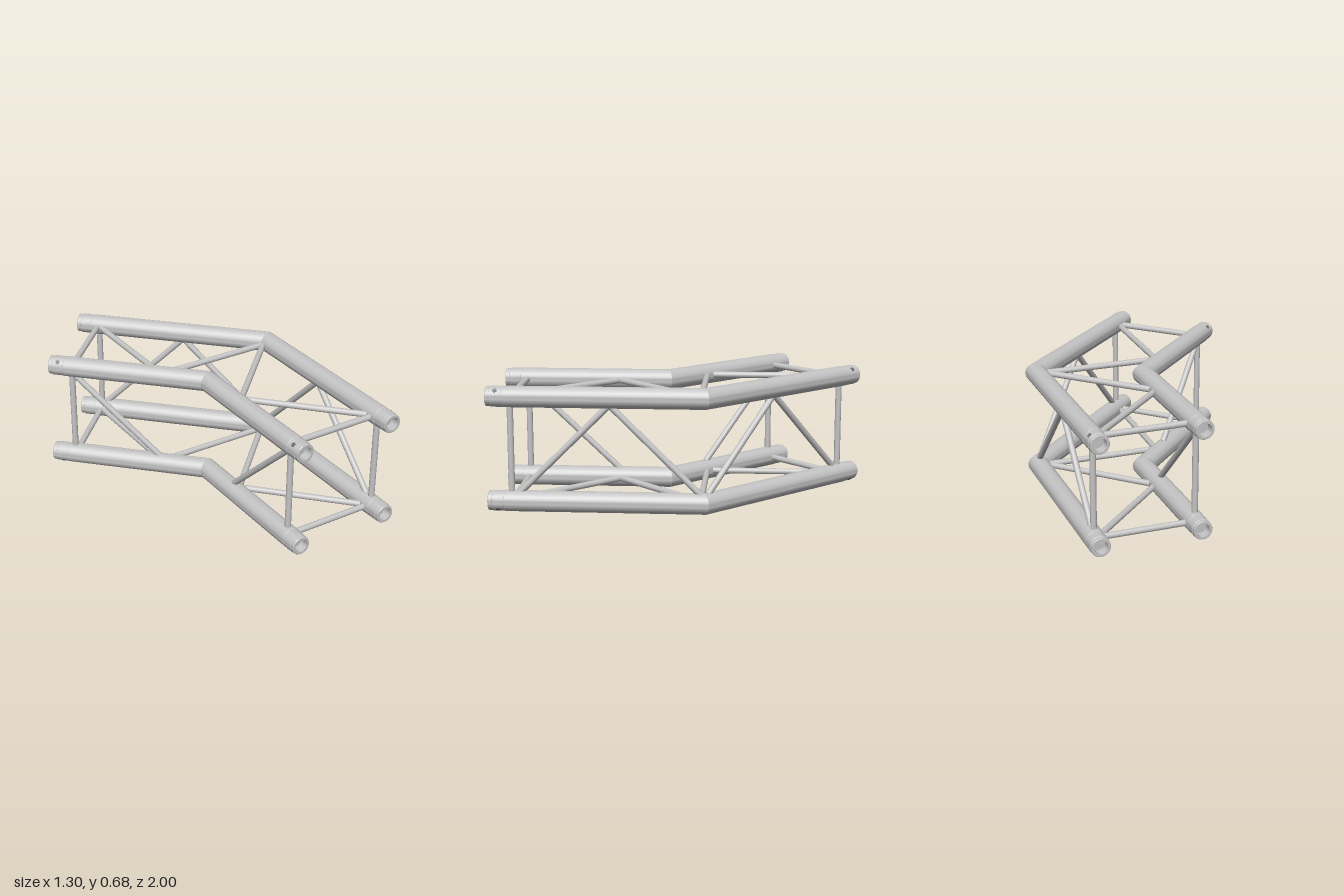
import * as THREE from 'three';
import { toCreasedNormals } from 'three/addons/utils/BufferGeometryUtils.js';

const R = 0.057, BRACE_R = 0.0172, LOW = 0.059, HIGH = 0.625, INSET = 0.048;
const MITRE = Math.tan(Math.PI / 8), Q = Math.SQRT1_2;

// Two legs leave the bend; "out" points to the outer side of the corner.
const LEGS = [
  { dir: new THREE.Vector3(0, 0, 1), out: new THREE.Vector3(1, 0, 0) },
  { dir: new THREE.Vector3(-Q, 0, -Q), out: new THREE.Vector3(Q, 0, -Q) },
];
// Bend position, side of the corner and leg lengths of each chord pair.
const OUTER = { x: 0.593, z: -0.155, side: 1, len: [1.155, 1.148] };
const INNER = { x: 0.03, z: 0.08, side: -1, len: [0.92, 0.912] };

export function createModel() {
  const metal = new THREE.MeshStandardMaterial({ color: 0xc4c4c4 });
  metal.name = 'aluminium';
  const shade = new THREE.MeshStandardMaterial({ color: 0x6c6c6c });
  shade.name = 'pin hole grey';
  const root = new THREE.Group();
  root.name = 'cornerTruss';

  const add = (parent, name, geo, mat) => {
    const mesh = new THREE.Mesh(geo, mat);
    mesh.name = name;
    parent.add(mesh);
    return mesh;
  };

  // Tube along +y: mitred at the bend, stepped collar and open socket at the end
  const tubeGeometry = (len) => {
    const profile = [
      [R, 0], [R, len - 0.09], [0.0553, len - 0.088], [0.0553, len - 0.026],
      [0.0525, len - 0.024], [0.0525, len - 0.004], [0.05, len],
      [0.037, len], [0.035, len - 0.05], [0, len - 0.05],
    ].map(([x, y]) => new THREE.Vector2(x, y));
    const geo = new THREE.LatheGeometry(profile, 40);
    const p = geo.attributes.position;
    for (let i = 0; i < p.count; i++) {
      if (Math.abs(p.getY(i)) < 1e-6) p.setY(i, -MITRE * p.getX(i));
    }
    return toCreasedNormals(geo, 0.5);
  };

  // Four bent chords
  for (const chord of [OUTER, INNER]) {
    for (const y of [LOW, HIGH]) {
      const pipe = new THREE.Group();
      pipe.name = (chord === OUTER ? 'outer' : 'inner') + (y === LOW ? 'Lower' : 'Upper') + 'Chord';
      pipe.position.set(chord.x, y, chord.z);
      root.add(pipe);
      LEGS.forEach(({ dir, out }, i) => {
        const leg = new THREE.Group();
        leg.name = i ? 'angledLeg' : 'straightLeg';
        const zAxis = new THREE.Vector3().crossVectors(out, dir);
        leg.quaternion.setFromRotationMatrix(new THREE.Matrix4().makeBasis(out, dir, zAxis));
        pipe.add(leg);
        const len = chord.len[i];
        add(leg, 'chordTube', tubeGeometry(len), metal);
        // Pin hole facing diagonally away from the truss centre
        const n = new THREE.Vector3(chord.side, 0, (y === HIGH ? 1 : -1) * Math.sign(zAxis.y)).normalize();
        const hole = add(leg, 'pinHole', new THREE.CylinderGeometry(0.012, 0.012, 0.004, 20), shade);
        hole.position.copy(n).multiplyScalar(0.0539).setY(len - 0.055);
        hole.quaternion.setFromUnitVectors(new THREE.Vector3(0, 1, 0), n);
      });
    }
  }

  // Point on a chord at distance t from its bend, shifted inward across the truss
  const at = (chord, leg, t, y, inward = 0) => new THREE.Vector3(chord.x, y, chord.z)
    .addScaledVector(LEGS[leg].dir, t)
    .addScaledVector(LEGS[leg].out, -chord.side * inward);

  const brace = (name, a, b) => {
    const d = b.clone().sub(a);
    const mesh = add(root, name, new THREE.CylinderGeometry(BRACE_R, BRACE_R, d.length(), 16), metal);
    mesh.position.copy(a).addScaledVector(d, 0.5);
    mesh.quaternion.setFromUnitVectors(new THREE.Vector3(0, 1, 0), d.normalize());
  };

  // Posts and cross bars near each end
  for (const leg of [0, 1]) {
    for (const chord of [OUTER, INNER]) {
      const t = chord.len[leg] - 0.125;
      brace('endPost', at(chord, leg, t, LOW + INSET), at(chord, leg, t, HIGH - INSET));
    }
    for (const y of [LOW, HIGH]) {
      brace('endCrossBar',
        at(OUTER, leg, OUTER.len[leg] - 0.125, y, INSET),
        at(INNER, leg, INNER.len[leg] - 0.125, y, INSET));
    }
  }

  // Diagonals in the upright sides
  const low = LOW + INSET, high = HIGH - INSET;
  for (const leg of [0, 1]) {
    brace('outerDiagonal', at(OUTER, leg, 0.985, low), at(OUTER, leg, 0.512, high));
    brace('outerDiagonal', at(OUTER, leg, 0.495, high), at(OUTER, leg, 0.022, low));
    brace('innerDiagonal', at(INNER, leg, 0.775, high), at(INNER, leg, 0.28, low));
  }

  // Zigzag in the top and bottom faces
  const zigzag = [
    [[0.545, 0.845], [0.078, 0.355]],
    [[0.078, 0.345], [0.545, -0.125]],
    [[0.55, -0.13], [-0.11, -0.13]],
    [[-0.145, -0.165], [-0.145, -0.825]],
  ];
  for (const y of [LOW, HIGH]) {
    for (const [a, b] of zigzag) {
      brace('flatDiagonal', new THREE.Vector3(a[0], y, a[1]), new THREE.Vector3(b[0], y, b[1]));
    }
  }
  return root;
}
